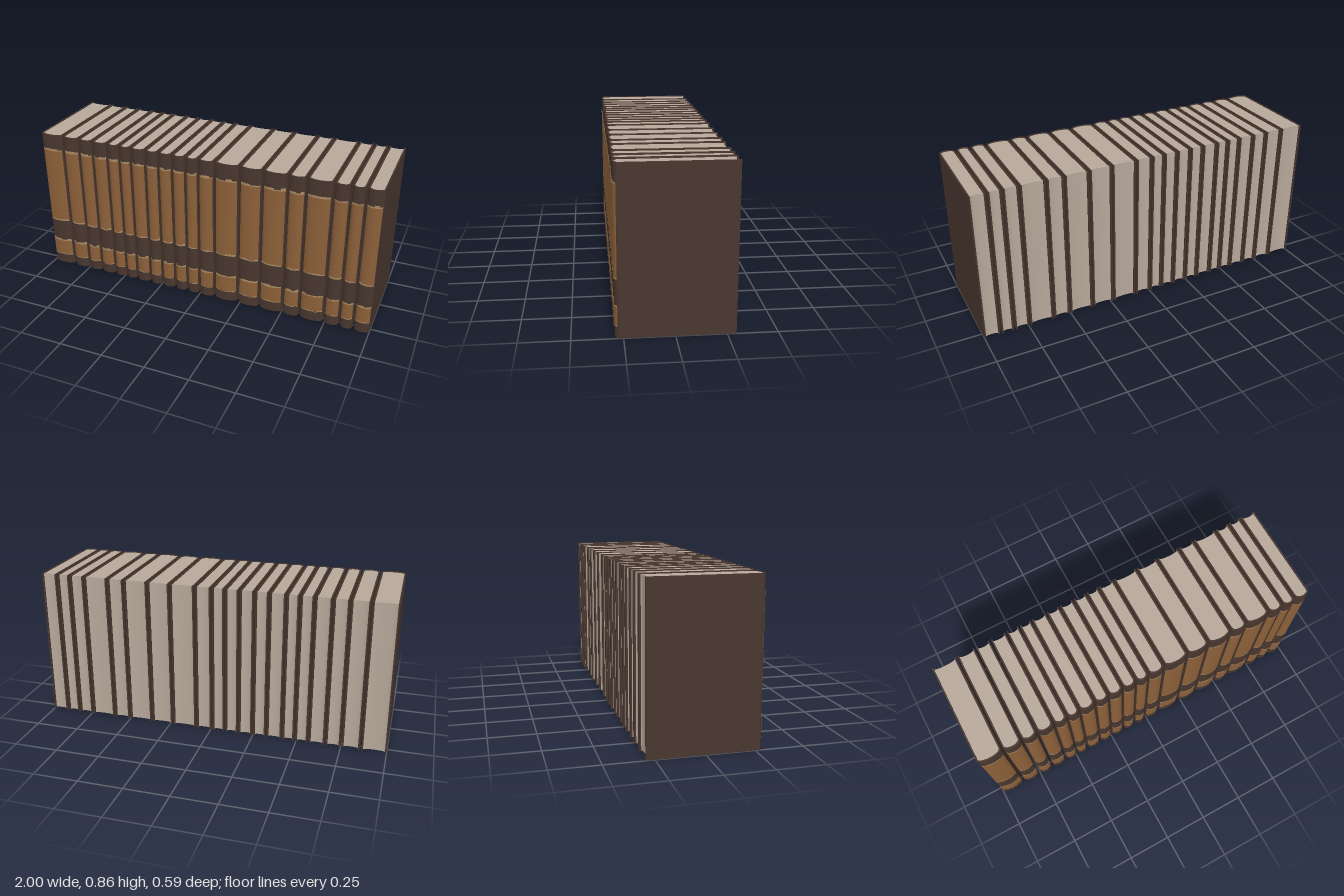
import * as THREE from 'three';

const HEIGHT = 0.86, BACK = -0.295, SHOULDER = 0.268, BULGE = 0.024;
const BOARD = 0.008, GAP = 0.011;

// Edges between neighbouring books along the row
const EDGES = [-1.005, -0.859, -0.752, -0.663, -0.568, -0.491, -0.418, -0.327, -0.247, -0.163,
  -0.083, -0.007, 0.088, 0.232, 0.362, 0.502, 0.6, 0.742, 0.83, 0.908, 1.005];

const coverMat = new THREE.MeshStandardMaterial({ name: 'dark leather', color: 0x48362e });
const spineMat = new THREE.MeshStandardMaterial({ name: 'tan leather', color: 0x8c6039 });
const foilMat = new THREE.MeshStandardMaterial({ name: 'worn foil', color: 0xa88a62, side: THREE.DoubleSide });
const pageMat = new THREE.MeshStandardMaterial({ name: 'paper', color: 0xb7a99b });
spineMat.side = THREE.DoubleSide;

function seeded(seed) {
  return () => {
    seed = (seed * 16807) % 2147483647;
    return seed / 2147483647;
  };
}

// Rounded spine curve from left to right as [x, z] points
function arc(halfWidth, shoulder, bulge, limit = Math.PI / 2, steps = 12) {
  const pts = [];
  for (let i = 0; i <= steps; i++) {
    const a = -limit + (2 * limit * i) / steps;
    pts.push([halfWidth * Math.sin(a), shoulder + bulge * Math.cos(a)]);
  }
  return pts;
}

// Upright prism over an outline of [x, z] points
function prism(points, y0, y1) {
  const shape = new THREE.Shape(points.map(([x, z]) => new THREE.Vector2(x, z)));
  const geo = new THREE.ExtrudeGeometry(shape, { depth: y1 - y0, bevelEnabled: false });
  return geo.rotateX(Math.PI / 2).translate(0, y1, 0);
}

// Thin curved strip on the spine; range(i) gives the low and high y of each column
function strip(points, range) {
  const pos = [];
  for (let i = 0; i < points.length - 1; i++) {
    const [lo, hi] = range(i);
    const [xa, za] = points[i], [xb, zb] = points[i + 1];
    pos.push(xa, lo, za, xb, lo, zb, xb, hi, zb, xa, lo, za, xb, hi, zb, xa, hi, za);
  }
  const geo = new THREE.BufferGeometry();
  geo.setAttribute('position', new THREE.Float32BufferAttribute(pos, 3));
  geo.computeVertexNormals();
  return geo;
}

function add(group, name, geo, mat) {
  const mesh = new THREE.Mesh(geo, mat);
  mesh.name = name;
  group.add(mesh);
}

function createBook(width, rand) {
  const book = new THREE.Group();
  const w = width / 2, inner = w - BOARD;

  // Cover: two boards joined by a rounded spine
  const outside = arc(w, SHOULDER, BULGE);
  const inside = arc(inner, SHOULDER - 0.004, BULGE - 0.004);
  add(book, 'cover', prism([
    [-w, BACK], ...outside, [w, BACK], [inner, BACK],
    ...inside.slice().reverse(), [-inner, BACK],
  ], 0, HEIGHT), coverMat);

  // Page block with a hollow fore edge
  const foreEdge = arc(inner, -0.286, 0.009).reverse();
  add(book, 'pages', prism([...inside, ...foreEdge], 0.004, HEIGHT - 0.004), pageMat);

  // Tan leather panels on the spine
  const face = arc(w, SHOULDER, BULGE + 0.0015, 1.17, 8);
  for (const [lo, hi] of [[0.062, 0.165], [0.302, 0.766]]) {
    add(book, 'spinePanel', strip(face, () => [lo, hi]), spineMat);
  }

  // Worn foil lines along the panel edges
  const foilFace = arc(w, SHOULDER, BULGE + 0.003, 1.17, 8);
  for (const [y, thick] of [[0.062, 0.006], [0.164, 0.016], [0.304, 0.012], [0.767, 0.016]]) {
    let part = 0;
    add(book, 'foilLine', strip(foilFace, (i) => {
      if (i % 2 === 0) part = rand();
      const half = (thick / 2) * (0.35 + 0.75 * part);
      const mid = y + (part - 0.5) * 0.006;
      return [mid - half, mid + half];
    }), foilMat);
  }
  return book;
}

export function createModel() {
  const model = new THREE.Group();
  model.name = 'bookRow';
  const rand = seeded(4127);
  for (let i = 0; i < EDGES.length - 1; i++) {
    const book = createBook(EDGES[i + 1] - EDGES[i] - GAP, rand);
    book.name = `book${i + 1}`;
    book.position.x = (EDGES[i] + EDGES[i + 1]) / 2;
    model.add(book);
  }
  return model;
}
